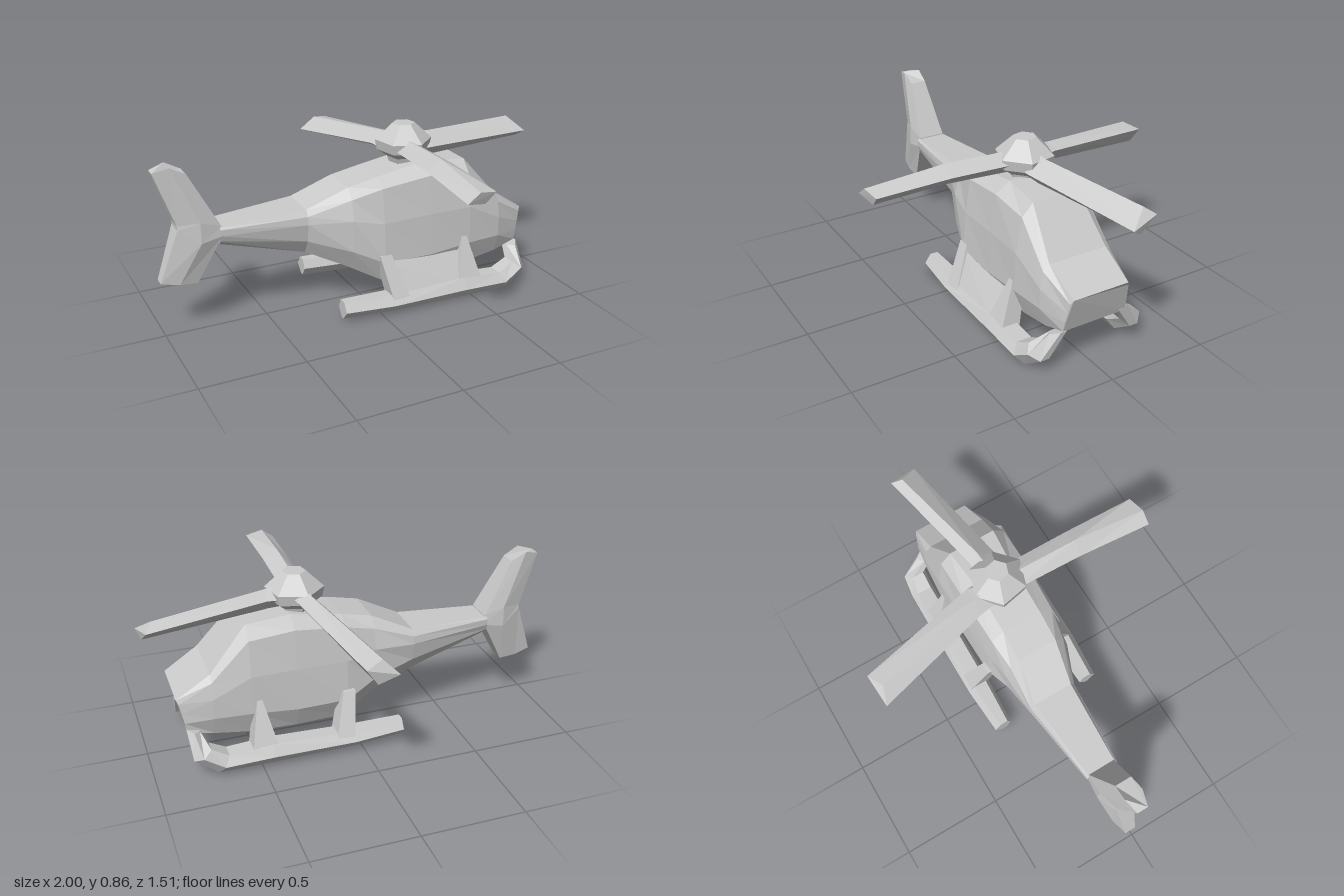
import * as THREE from 'three';

const material = new THREE.MeshStandardMaterial({ color: 0xcccccc, flatShading: true, side: THREE.DoubleSide });

// Closed solid skinned over a list of rings (equal numbers of [x, y, z] points)
function loft(name, rings) {
  const tris = [], n = rings[0].length;
  for (let i = 0; i < rings.length - 1; i++) {
    for (let j = 0; j < n; j++) {
      const k = (j + 1) % n, a = rings[i], b = rings[i + 1];
      tris.push([a[j], a[k], b[k]], [a[j], b[k], b[j]]);
    }
  }
  const last = rings[rings.length - 1];
  for (let j = 1; j < n - 1; j++) {
    tris.push([rings[0][0], rings[0][j + 1], rings[0][j]], [last[0], last[j], last[j + 1]]);
  }
  // A negative volume means the faces point inward, so turn them round
  const v = tris.map(t => t.map(p => new THREE.Vector3(...p)));
  const volume = v.reduce((s, [a, b, c]) => s + a.dot(b.clone().cross(c)), 0);
  if (volume < 0) v.forEach(t => t.reverse());
  const geometry = new THREE.BufferGeometry().setFromPoints(v.flat());
  geometry.computeVertexNormals();
  const mesh = new THREE.Mesh(geometry, material);
  mesh.name = name;
  return mesh;
}

// Ten-sided fuselage section from [half-width, y] pairs, roof to belly;
// the lean moves the lower points along x
function hullRing([x, zc, levels, lean = 0]) {
  const shift = i => x + lean * i / 4;
  const side = s => levels.map(([w, y], i) => [shift(i), y, zc + s * w]);
  return [...side(1), ...side(-1).reverse()];
}

// Skid section from its lower and upper [x, y] points, z inner to outer
function skidRing([lx, ly, ux, uy, z0, z1], place) {
  const mx = (lx + ux) / 2, my = (ly + uy) / 2;
  return [[lx, ly, z0 + 0.03], [lx, ly, z1 - 0.04], [mx, my, z1],
    [ux, uy, z1 - 0.03], [ux, uy, z0 + 0.02], [mx, my, z0]].map(place);
}

// Rectangle across x and z, used for the struts
const pad = (x0, x1, y, z0, z1) => [[x0, y, z0], [x1, y, z0], [x1, y, z1], [x0, y, z1]];

// One skid with its struts; the toe curls up to meet the nose
function landingGear(name, place) {
  const group = new THREE.Group();
  group.name = name;
  group.add(loft('skid', [
    [-0.2, 0.02, -0.2, 0.11, 0.19, 0.28],
    [0.05, 0.012, 0.05, 0.1, 0.18, 0.3],
    [0.45, 0.005, 0.45, 0.11, 0.18, 0.305],
    [0.71, 0.003, 0.66, 0.095, 0.18, 0.305],
    [0.82, 0.08, 0.74, 0.135, 0.18, 0.295],
    [0.83, 0.2, 0.77, 0.185, 0.1, 0.2],
  ].map(r => skidRing(r, place))));
  group.add(loft('frontStrut', [
    pad(0.475, 0.5, 0.31, 0.13, 0.195), pad(0.42, 0.55, 0.08, 0.19, 0.285)].map(r => r.map(place))));
  group.add(loft('rearStrut', [
    pad(0.02, 0.08, 0.28, 0.12, 0.195), pad(0.05, 0.14, 0.08, 0.19, 0.285)].map(r => r.map(place))));
  return group;
}

export function createModel() {
  const model = new THREE.Group();
  model.name = 'helicopter';

  // Cabin and tail boom, running from the tail to the nose
  model.add(loft('fuselage', [
    [-0.72, -0.04, [[0.07, 0.51], [0.08, 0.5], [0.08, 0.47], [0.07, 0.44], [0.05, 0.42]]],
    [-0.3, -0.05, [[0.1, 0.53], [0.12, 0.5], [0.125, 0.46], [0.11, 0.37], [0.07, 0.3]]],
    [-0.1, -0.015, [[0.1, 0.62], [0.145, 0.57], [0.17, 0.47], [0.165, 0.31], [0.11, 0.21]]],
    [0.05, -0.01, [[0.1, 0.65], [0.165, 0.61], [0.19, 0.44], [0.205, 0.24], [0.155, 0.13]]],
    [0.3, -0.01, [[0.1, 0.69], [0.175, 0.64], [0.2, 0.45], [0.21, 0.24], [0.165, 0.13]]],
    [0.52, -0.01, [[0.12, 0.68], [0.175, 0.62], [0.205, 0.45], [0.21, 0.26], [0.17, 0.14]]],
    [0.7, -0.01, [[0.15, 0.47], [0.18, 0.44], [0.195, 0.36], [0.195, 0.26], [0.165, 0.165]]],
    [0.865, -0.02, [[0.145, 0.37], [0.155, 0.35], [0.16, 0.3], [0.165, 0.25], [0.165, 0.2]], -0.04],
  ].map(hullRing)));

  // Tail fin, growing out of the full width of the boom to tips above and below
  model.add(loft('tailFin', [
    [-1, 0.265, -0.83, 0.24, 0.25, 0.045],
    [-0.91, 0.52, -0.71, 0.465, 0.45, 0.08],
    [-0.91, 0.54, -0.71, 0.515, 0.55, 0.075],
    [-1, 0.8, -0.85, 0.78, 0.82, 0.045],
  ].map(([bx, by, fx, fy, my, w]) => {
    const mx = (bx + fx) / 2, z = -0.04;
    return [[bx, by, z + w * 0.6], [mx, my, z + w], [fx, fy, z + w * 0.9],
      [fx, fy, z - w * 0.9], [mx, my, z - w], [bx, by, z - w * 0.6]];
  })));

  // Landing gear on both sides, the far one set slightly out and up
  const near = landingGear('nearLandingGear', p => p);
  near.add(loft('sidePanel', [
    [[0.04, 0.25, 0.13], [0.04, 0.25, 0.195], [0.07, 0.08, 0.28], [0.07, 0.08, 0.2]],
    [[0.47, 0.23, 0.13], [0.47, 0.23, 0.195], [0.45, 0.08, 0.28], [0.45, 0.08, 0.2]],
  ]));
  model.add(near, landingGear('farLandingGear',
    ([x, y, z]) => [x, y + 0.015, -z - 0.035 + 0.02 * x]));

  // Rotor hub, with a mast below and a faceted cap above
  const hubRing = (y, r, x = 0.25, z = -0.02) => Array.from({ length: 6 }, (_, i) => {
    const a = (i + 0.3) * Math.PI / 3;
    return [x + r * Math.cos(a), y, z + r * Math.sin(a)];
  });
  model.add(loft('rotorHub', [hubRing(0.64, 0.06), hubRing(0.7, 0.08),
    hubRing(0.735, 0.13), hubRing(0.785, 0.14), hubRing(0.865, 0.055)]));

  // Three blades; each ring is one edge, the ridge, the other edge and the keel
  const blades = {
    noseBlade: [
      [[0.25, 0.75, -0.09], [0.25, 0.81, -0.03], [0.25, 0.74, 0.05], [0.25, 0.69, -0.01]],
      [[0.4, 0.76, -0.09], [0.4, 0.8, -0.04], [0.38, 0.74, 0.045], [0.38, 0.685, -0.01]],
      [[0.97, 0.74, -0.2], [0.94, 0.775, -0.15], [1, 0.71, -0.06], [0.98, 0.675, -0.11]],
    ],
    farBlade: [
      [[0.17, 0.73, -0.05], [0.23, 0.81, -0.05], [0.29, 0.76, -0.05], [0.24, 0.7, -0.05]],
      [[0.15, 0.73, -0.17], [0.21, 0.79, -0.17], [0.28, 0.77, -0.17], [0.22, 0.7, -0.17]],
      [[0.01, 0.66, -0.75], [0.08, 0.73, -0.72], [0.165, 0.71, -0.76], [0.11, 0.63, -0.75]],
    ],
    nearBlade: [
      [[0.17, 0.75, 0], [0.23, 0.8, 0], [0.3, 0.76, 0], [0.24, 0.7, 0]],
      [[0.16, 0.75, 0.38], [0.22, 0.81, 0.38], [0.295, 0.77, 0.38], [0.23, 0.715, 0.38]],
      [[0.14, 0.73, 0.755], [0.2, 0.775, 0.755], [0.29, 0.76, 0.74], [0.24, 0.71, 0.735]],
    ],
  };
  for (const [name, rings] of Object.entries(blades)) model.add(loft(name, rings));

  return model;
}
